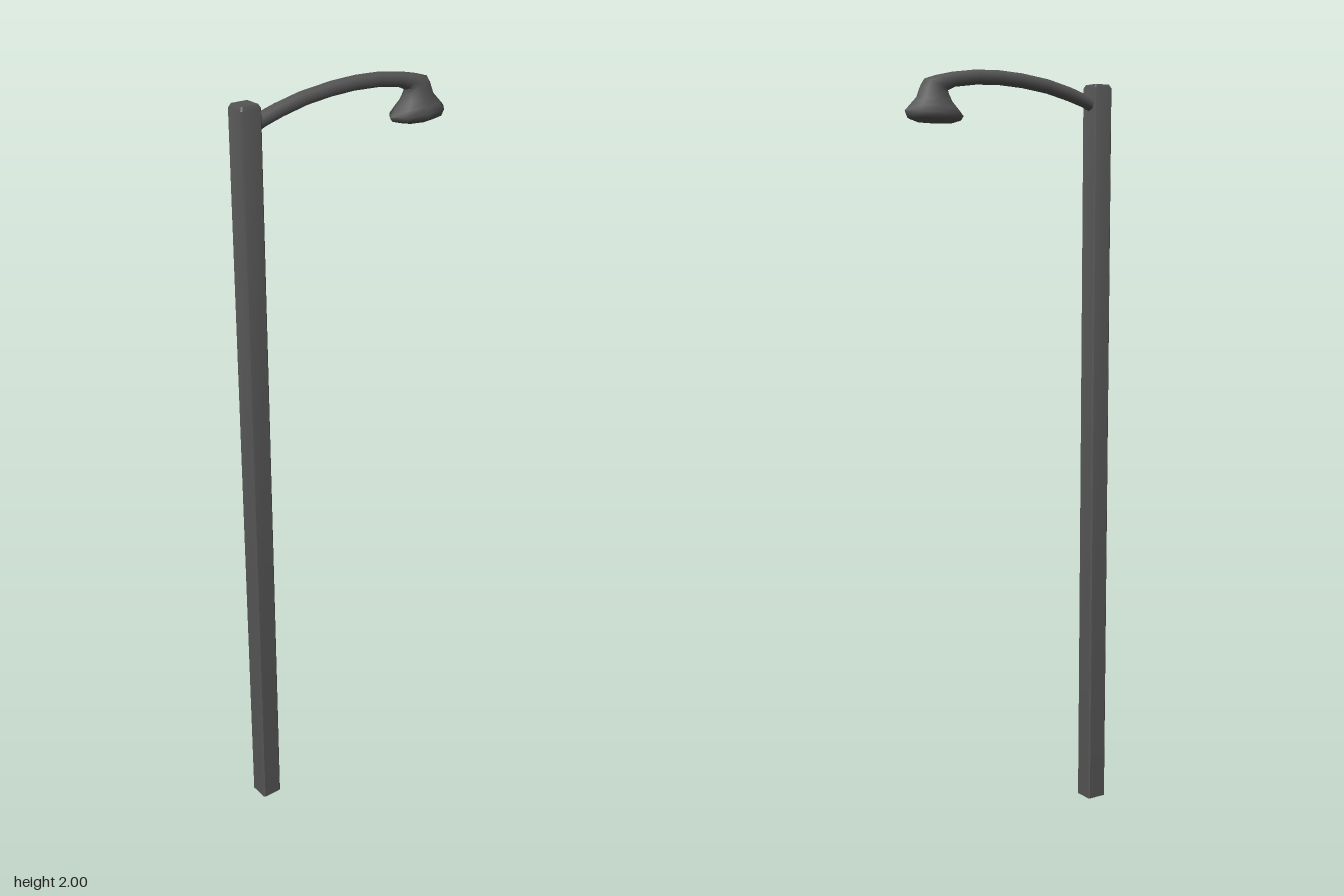
import * as THREE from 'three';
import { toCreasedNormals } from 'three/addons/utils/BufferGeometryUtils.js';

// Unit outlines as [along the ring's normal, along z]
const octagon = Array.from({ length: 8 }, (_, i) => {
  const t = (i * Math.PI) / 4;
  return [Math.cos(t), Math.sin(t)];
});
const c = 0.88;
const chamferedSquare = [[1, -c], [1, c], [c, 1], [-c, 1], [-1, c], [-1, -c], [-c, -1], [c, -1]];

// Skin through rings [x, y, heading in degrees, half width, half depth], closed at the last ring
function loft(rings, outline, crease) {
  const n = outline.length;
  const pos = [];
  const index = [];
  rings.forEach(([x, y, deg, ru, rz], r) => {
    const a = THREE.MathUtils.degToRad(deg);
    outline.forEach(([u, w], j) => {
      pos.push(x - Math.sin(a) * u * ru, y + Math.cos(a) * u * ru, w * rz);
      if (r === 0) return;
      const k = (j + 1) % n;
      const p = (r - 1) * n;
      const q = r * n;
      index.push(p + j, p + k, q + k, p + j, q + k, q + j);
    });
  });
  const [ex, ey] = rings[rings.length - 1];
  const centre = pos.length / 3;
  pos.push(ex, ey, 0);
  for (let j = 0; j < n; j++) index.push(centre, centre - n + j, centre - n + ((j + 1) % n));
  const geo = new THREE.BufferGeometry();
  geo.setAttribute('position', new THREE.Float32BufferAttribute(pos, 3));
  geo.setIndex(index);
  return toCreasedNormals(geo, crease);
}

export function createModel() {
  const group = new THREE.Group();
  const metal = new THREE.MeshStandardMaterial({ color: 0x555555, side: THREE.DoubleSide });
  const add = (name, geo) => {
    const mesh = new THREE.Mesh(geo, metal);
    mesh.name = name;
    group.add(mesh);
  };

  // Square hollow post, open at the foot, with a bevelled top
  add('post', loft([
    [-0.282, 0, 90, 0.028, 0.028],
    [-0.282, 1.972, 90, 0.028, 0.028],
    [-0.282, 1.981, 90, 0.023, 0.023],
  ], chamferedSquare, 0.6));

  // Curved arm flowing into the drooping lamp head
  add('armAndLampHead', loft([
    // arm
    [-0.262, 1.929, 20, 0.019, 0.023],
    [-0.24, 1.937, 19, 0.018, 0.02],
    [-0.19, 1.952, 15, 0.0185, 0.019],
    [-0.12, 1.968, 10, 0.0185, 0.019],
    [-0.04, 1.978, 5, 0.0185, 0.019],
    [0.03, 1.9815, 0, 0.0185, 0.019],
    [0.1, 1.979, -4, 0.0185, 0.019],
    [0.165, 1.97, -10, 0.0185, 0.019],
    // bend and neck
    [0.197, 1.961, -48, 0.025, 0.02],
    [0.2165, 1.9545, -70, 0.036, 0.021],
    [0.22, 1.94, -77, 0.043, 0.023],
    // lamp head
    [0.221, 1.917, -86, 0.053, 0.03],
    [0.222, 1.9, -88, 0.07, 0.039],
    [0.222, 1.884, -88, 0.085, 0.046],
    [0.222, 1.87, -90, 0.077, 0.041],
    [0.222, 1.862, -90, 0.05, 0.027],
  ], octagon, 1.3));

  return group;
}
